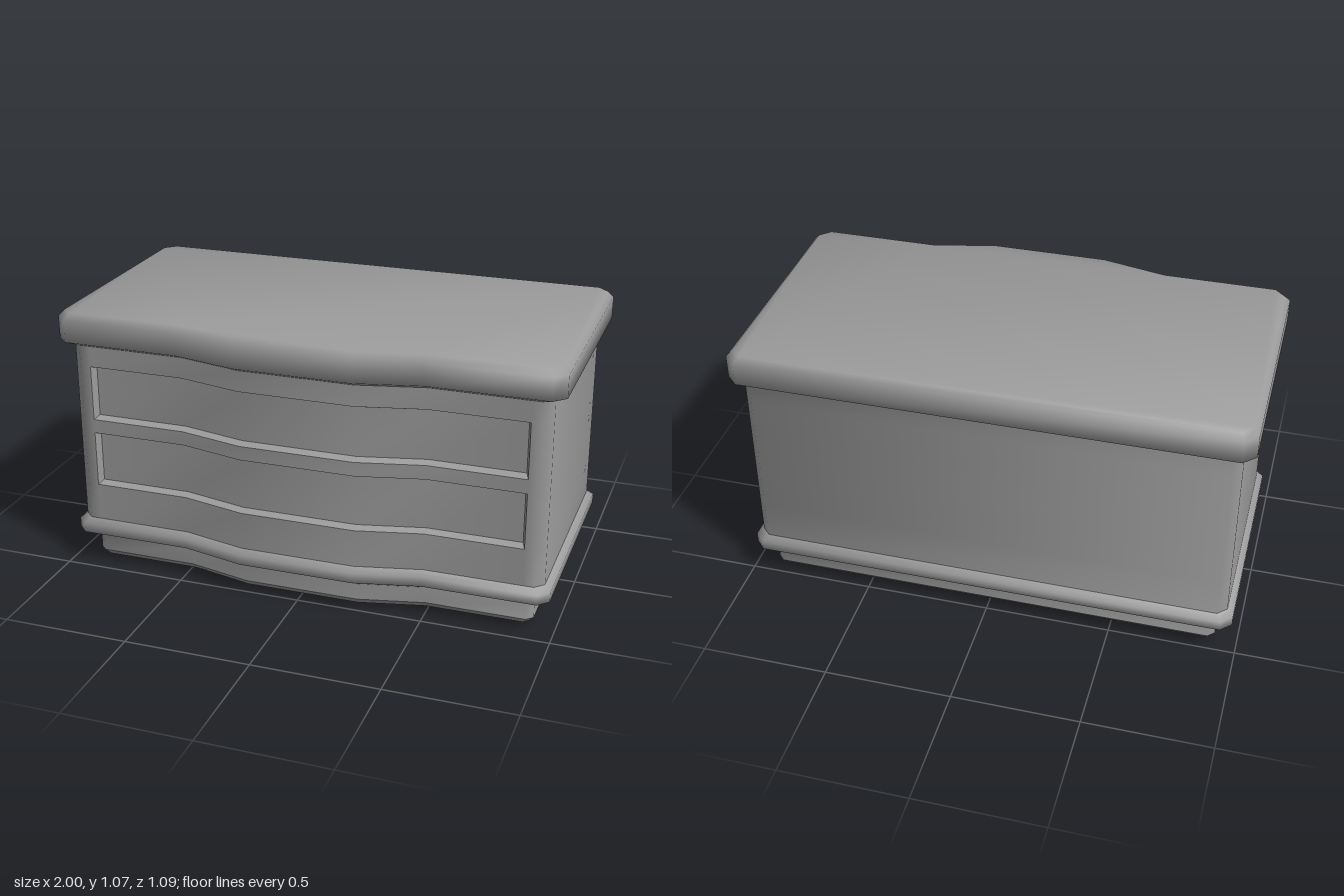
import * as THREE from 'three';
import { toCreasedNormals } from 'three/addons/utils/BufferGeometryUtils.js';

const material = new THREE.MeshStandardMaterial({ color: 0x9c9c9c });

// Corner chamfers shrink as the outline is inset
const chamfer = d => 0.047 - 0.25 * d;

// Depth of the bowed front at x, inset by d from the widest outline
function frontZ(x, d) {
  const t = THREE.MathUtils.clamp((0.49 - Math.abs(x)) / 0.26, 0, 1);
  return 0.487 - d + 0.06 * t;
}

// Plan outline inset by d: the first six points run along the front
function outline(d) {
  const c = chamfer(d), hx = 1 - d, a = hx - c, back = -0.547 + d;
  const front = [-a, -0.49, -0.23, 0.23, 0.49, a].map(x => [x, frontZ(x, d)]);
  const sideFront = frontZ(1, d) - c;
  return [...front, [hx, sideFront], [hx, back + c], [a, back],
    [-a, back], [-hx, back + c], [-hx, sideFront]];
}

// Collects quads and caps into one mesh
class Builder {
  constructor() { this.p = []; }
  tri(...corners) { corners.forEach(c => this.p.push(...c)); }
  quad(a, b, c, d) { this.tri(a, b, c); this.tri(a, c, d); }

  // Walls through [inset, y] levels, from the given outline point onwards
  loft(levels, first = 0) {
    for (let k = 0; k + 1 < levels.length; k++) {
      const [d0, y0] = levels[k], [d1, y1] = levels[k + 1];
      const lo = outline(d0), hi = outline(d1), n = lo.length;
      for (let i = first; i < n; i++) {
        const j = (i + 1) % n;
        this.quad([lo[i][0], y0, lo[i][1]], [lo[j][0], y0, lo[j][1]],
          [hi[j][0], y1, hi[j][1]], [hi[i][0], y1, hi[i][1]]);
      }
    }
    return this;
  }

  cap([d, y], up) {
    const pts = outline(d);
    const flat = pts.map(([x, z]) => new THREE.Vector2(x, -z));
    for (const face of THREE.ShapeUtils.triangulateShape(flat, [])) {
      const [a, b, c] = face.map(i => [pts[i][0], y, pts[i][1]]);
      if (up) this.tri(a, b, c); else this.tri(a, c, b);
    }
    return this;
  }

  mesh(name, crease) {
    const g = new THREE.BufferGeometry();
    g.setAttribute('position', new THREE.Float32BufferAttribute(this.p, 3));
    const m = new THREE.Mesh(toCreasedNormals(g, crease), material);
    m.name = name;
    return m;
  }
}

const BODY = 0.047, RECESS = 0.03, BEVEL = 0.012, OPEN_X = 0.875;
const DRAWERS = [['lowerDrawer', 0.342, 0.568], ['upperDrawer', 0.625, 0.848]];
const onFront = (x, y, deep = 0) => [x, y, frontZ(x, BODY) - deep];
const columns = edge => [-edge, -0.49, -0.23, 0.23, 0.49, edge];

function createBody() {
  const b = new Builder();
  const ys = [0.19, ...DRAWERS.flatMap(([, y0, y1]) => [y0, y1]), 0.933];
  b.loft(ys.map(y => [BODY, y]), 5);

  // Front frame, leaving the drawer openings free
  const edge = 1 - BODY - chamfer(BODY);
  const xs = [-edge, ...columns(OPEN_X), edge];
  for (let r = 0; r < ys.length - 1; r++) {
    for (let c = 0; c < xs.length - 1; c++) {
      const open = r % 2 === 1 && c > 0 && c < xs.length - 2;
      if (open) continue;
      b.quad(onFront(xs[c], ys[r]), onFront(xs[c + 1], ys[r]),
        onFront(xs[c + 1], ys[r + 1]), onFront(xs[c], ys[r + 1]));
    }
  }

  // Sloping walls of each opening
  const outer = columns(OPEN_X), inner = columns(OPEN_X - BEVEL);
  for (const [, y0, y1] of DRAWERS) {
    const rimOut = [], rimIn = [];
    outer.forEach((x, i) => {
      rimOut.push(onFront(x, y0));
      rimIn.push(onFront(inner[i], y0 + BEVEL, RECESS));
    });
    for (let i = outer.length - 1; i >= 0; i--) {
      rimOut.push(onFront(outer[i], y1));
      rimIn.push(onFront(inner[i], y1 - BEVEL, RECESS));
    }
    rimOut.forEach((p, i) => {
      const j = (i + 1) % rimOut.length;
      b.quad(p, rimOut[j], rimIn[j], rimIn[i]);
    });
  }
  return b.mesh('body', 0.9);
}

// Bowed panel at the back of an opening
function createDrawer([name, y0, y1]) {
  const b = new Builder(), xs = columns(OPEN_X - BEVEL);
  const lo = y0 + BEVEL, hi = y1 - BEVEL;
  for (let i = 0; i < xs.length - 1; i++) {
    b.quad(onFront(xs[i], lo, RECESS), onFront(xs[i + 1], lo, RECESS),
      onFront(xs[i + 1], hi, RECESS), onFront(xs[i], hi, RECESS));
  }
  return b.mesh(name, 0.9);
}

export function createModel() {
  const group = new THREE.Group();
  group.name = 'chestOfDrawers';

  // Plinth and its bevelled underside
  const foot = [[0.108, 0], [0.088, 0.025]];
  group.add(new Builder().loft(foot).cap(foot[0], false).mesh('plinthFoot', 1.0));
  group.add(new Builder().loft([foot[1], [0.088, 0.093]]).mesh('plinth', 1.0));

  // Base moulding
  const moulding = [[0.088, 0.093], [0.022, 0.13], [0.022, 0.17], [BODY, 0.19]];
  group.add(new Builder().loft(moulding).mesh('baseMoulding', 1.4));

  group.add(createBody());
  DRAWERS.forEach(d => group.add(createDrawer(d)));

  // Top slab
  const top = [[BODY, 0.933], [0, 0.956], [0, 1.045], [0.022, 1.07]];
  group.add(new Builder().loft(top).cap(top[3], true).mesh('topSlab', 1.4));

  return group;
}
